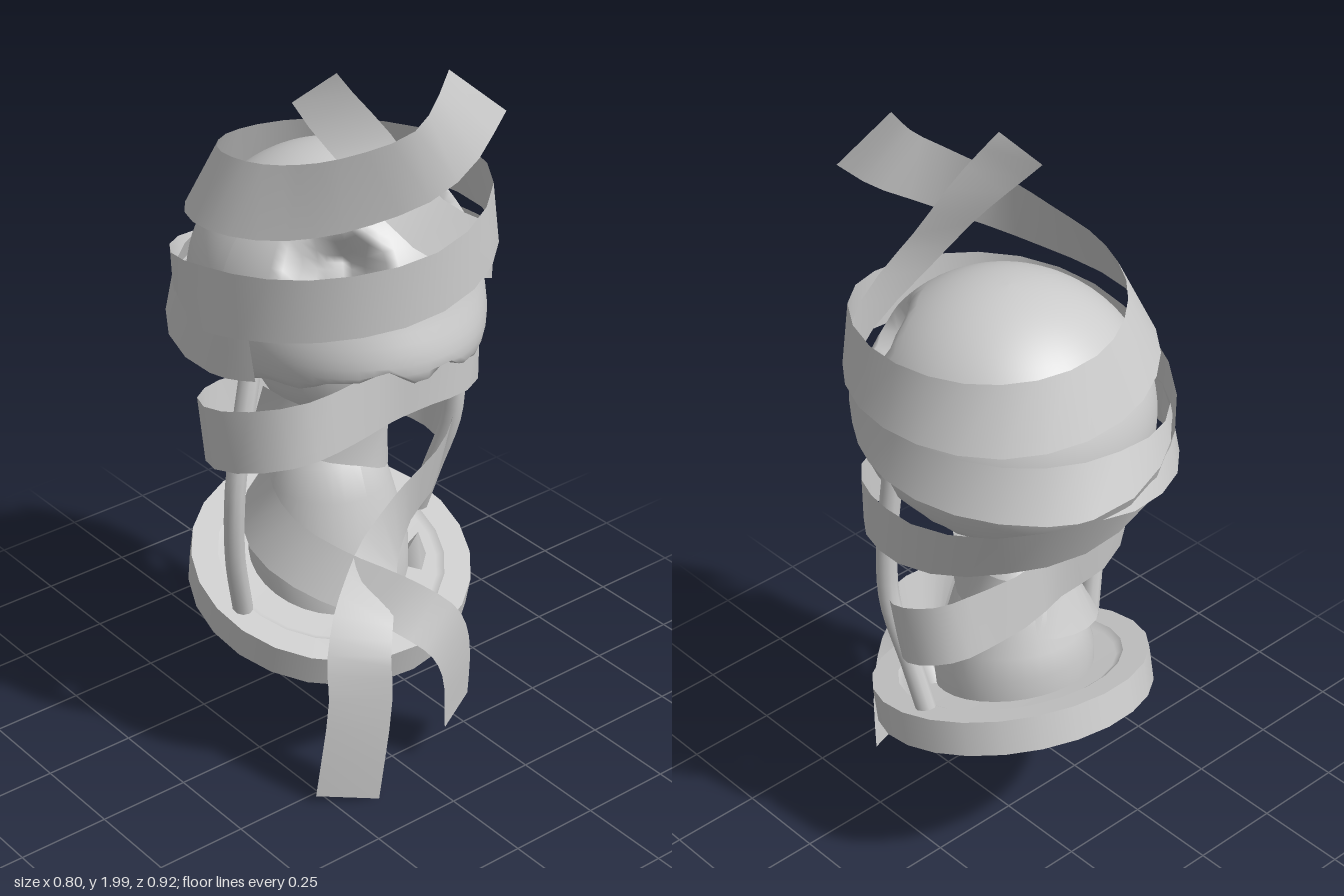
import * as THREE from 'three';

const grey = new THREE.MeshStandardMaterial({ color: 0xcccccc });
const thin = new THREE.MeshStandardMaterial({ color: 0xcccccc, side: THREE.DoubleSide });

function add(parent, name, geometry, material = grey) {
  const mesh = new THREE.Mesh(geometry, material);
  mesh.name = name;
  parent.add(mesh);
  return mesh;
}

// Band wound about the vertical axis; stations are
// [degrees from +z towards +x, radius, height, inward lean of the upper edge]
function ribbonGeometry(stations, width) {
  const curve = new THREE.CatmullRomCurve3(
    stations.map(([deg, r, y]) => new THREE.Vector3(deg / 150, r, y)));
  const toSpace = (t) => {
    const p = curve.getPoint(t);
    const a = THREE.MathUtils.degToRad(p.x * 150);
    return new THREE.Vector3(p.y * Math.sin(a), p.z, p.y * Math.cos(a));
  };
  const spans = stations.length - 1;
  const leanAt = (t) => {
    const k = Math.min(spans - 1, Math.floor(t * spans));
    return THREE.MathUtils.lerp(stations[k][3] ?? 0, stations[k + 1][3] ?? 0, t * spans - k);
  };
  const steps = spans * 3;
  const positions = [], index = [];
  for (let i = 0; i <= steps; i++) {
    const t = i / steps;
    const p = toSpace(t);
    const tangent = toSpace(Math.min(1, t + 0.004)).sub(toSpace(Math.max(0, t - 0.004)));
    const outward = new THREE.Vector3(p.x, 0, p.z).normalize();
    const side = outward.clone().cross(tangent).normalize().multiplyScalar(width / 2);
    side.addScaledVector(outward, -leanAt(t) * side.y);
    positions.push(p.x + side.x, p.y + side.y, p.z + side.z);
    positions.push(p.x - side.x, p.y - side.y, p.z - side.z);
    if (i < steps) {
      const k = i * 2;
      index.push(k, k + 1, k + 2, k + 1, k + 3, k + 2);
    }
  }
  const g = new THREE.BufferGeometry();
  g.setAttribute('position', new THREE.Float32BufferAttribute(positions, 3));
  g.setIndex(index);
  g.computeVertexNormals();
  return g;
}

// Rounded skull: two pressed-in sockets and an uneven underside rising to the jaw
function skullGeometry() {
  const g = new THREE.SphereGeometry(1, 64, 44);
  const pos = g.attributes.position;
  const v = new THREE.Vector3();
  const sockets = [-1, 1].map((s) => new THREE.Vector3(s * 0.54, 0.5, 0.67).normalize());
  for (let i = 0; i < pos.count; i++) {
    v.fromBufferAttribute(pos, i);
    const front = Math.max(0, v.z);
    const low = THREE.MathUtils.smoothstep(-v.y, -0.2, 0.3);
    let scale = 1;
    for (const s of sockets) {
      scale -= 0.32 * (1 - THREE.MathUtils.smoothstep(v.distanceTo(s), 0.2, 0.32));
    }
    const a = Math.atan2(v.x, v.z);
    const edge = 1.18 + 0.12 * Math.min(0, v.z) + 0.07 * front * front - 0.05 * v.x * front
      + 0.014 * front * (Math.sin(a * 9) + Math.sin(a * 15 + 1));
    const y = 1.33 + v.y * 0.35 * scale;
    pos.setXYZ(i, v.x * 0.36 * scale, Math.max(y, edge),
      v.z * (v.z > 0 ? 0.385 : 0.375) * scale + 0.045 * front * low);
  }
  g.computeVertexNormals();
  return g;
}

// Lower bulb, neck and upper bulb; the foot is slanted to sit on the tilted base
function glassGeometry() {
  const profile = [[0.21, 0.49], [0.21, 0.58], [0.19, 0.66], [0.16, 0.76], [0.13, 0.84],
    [0.075, 0.9], [0.06, 0.93], [0.09, 0.97], [0.15, 1.02], [0.19, 1.09], [0.205, 1.18], [0.2, 1.25]];
  const g = new THREE.LatheGeometry(profile.map(([r, y]) => new THREE.Vector2(r, y)), 32);
  const pos = g.attributes.position;
  for (let i = 0; i < pos.count; i++) {
    const y = pos.getY(i);
    const foot = 1 - THREE.MathUtils.smoothstep(y, 0.55, 0.8);
    pos.setY(i, y + foot * (0.07 * pos.getX(i) - 0.28 * pos.getZ(i)));
  }
  g.computeVertexNormals();
  return g;
}

export function createModel() {
  const model = new THREE.Group();
  model.name = 'wrappedHourglass';

  // Tilted base with a low raised rim
  const base = new THREE.Group();
  base.name = 'base';
  base.position.set(0, 0.477, -0.015);
  base.rotation.set(0.28, 0, 0.07);
  model.add(base);
  const baseProfile = [[0, -0.047], [0.37, -0.047], [0.37, -0.047], [0.37, 0.047],
    [0.37, 0.047], [0.3, 0.047], [0.3, 0.047], [0.28, 0.035], [0, 0.035]];
  add(base, 'baseDisc', new THREE.LatheGeometry(
    baseProfile.map(([r, y]) => new THREE.Vector2(r, y)), 24));

  // Shard standing on the base
  const shard = add(base, 'shard', new THREE.ConeGeometry(0.045, 0.11, 4));
  shard.position.set(0.18, 0.085, 0.12);
  shard.rotation.y = 1.5;

  add(model, 'glassBulbs', glassGeometry(), thin).position.z = -0.02;
  add(model, 'skull', skullGeometry());

  // Bowed support rods, one on each side
  const rods = {
    rightRod: [[-0.31, 0.48, 0.02], [-0.355, 0.68, 0.05], [-0.365, 0.88, 0.07], [-0.34, 1.05, 0.07], [-0.28, 1.28, 0.05]],
    leftRod: [[0.305, 0.52, -0.03], [0.32, 0.68, 0.02], [0.34, 0.85, 0.07], [0.34, 1.0, 0.08], [0.32, 1.25, 0.07]],
  };
  for (const [name, points] of Object.entries(rods)) {
    const path = new THREE.CatmullRomCurve3(points.map((p) => new THREE.Vector3(...p)));
    add(model, name, new THREE.TubeGeometry(path, 18, 0.027, 10));
  }

  // Long ribbon: upper tip, round the skull, down the rods and out over the base
  add(model, 'longRibbon', ribbonGeometry([
    [13, 0.425, 1.945, 0.7], [-5, 0.43, 1.82, 0.3], [-30, 0.36, 1.73, 0.3], [-60, 0.31, 1.67, 0.4],
    [-100, 0.31, 1.63, 0.5], [-140, 0.33, 1.59, 0.5], [-180, 0.35, 1.55, 0.4],
    [-225, 0.37, 1.53, 0.4], [-270, 0.382, 1.53, 0.25], [-315, 0.4, 1.53, 0.1],
    [-360, 0.41, 1.48], [-405, 0.4, 1.44], [-450, 0.385, 1.39, 0.1], [-495, 0.405, 1.31, -0.1],
    [-540, 0.42, 1.22, -0.5], [-585, 0.41, 1.17, -0.5], [-630, 0.385, 1.12, -0.1],
    [-664, 0.37, 1.11], [-692, 0.27, 1.11], [-720, 0.23, 1.1], [-748, 0.27, 1.09],
    [-776, 0.37, 1.07], [-810, 0.39, 1.01], [-848, 0.29, 0.95], [-900, 0.18, 0.91],
    [-950, 0.27, 0.88], [-970, 0.35, 0.85], [-990, 0.37, 0.81], [-1010, 0.3, 0.765],
    [-1043, 0.2, 0.71], [-1085, 0.22, 0.64], [-1102, 0.3, 0.55], [-1108, 0.365, 0.44],
    [-1108, 0.385, 0.32], [-1113, 0.39, 0.02],
  ], 0.165), thin);

  // Second ribbon: upper tip, over the brow and round the back
  add(model, 'browRibbon', ribbonGeometry([
    [-50, 0.22, 1.93], [-20, 0.26, 1.78], [3, 0.34, 1.6], [35, 0.395, 1.46], [60, 0.39, 1.39],
    [90, 0.385, 1.36, 0.2], [135, 0.4, 1.34, 0.3], [180, 0.42, 1.32, 0.5], [225, 0.412, 1.28, 0.2],
    [270, 0.385, 1.26], [290, 0.375, 1.28],
  ], 0.135), thin);

  // Third ribbon: short hanging end, round the lower bulb and the neck
  add(model, 'neckRibbon', ribbonGeometry([
    [24, 0.365, 0.14], [18, 0.38, 0.34], [8, 0.37, 0.46], [-10, 0.3, 0.55], [-40, 0.26, 0.62, 0.3],
    [-90, 0.22, 0.69, 0.5], [-135, 0.195, 0.75, 0.5], [-180, 0.175, 0.79, 0.4], [-225, 0.155, 0.82, 0.2],
    [-270, 0.145, 0.85], [-320, 0.14, 0.88], [-360, 0.15, 0.93], [-410, 0.2, 0.99],
    [-450, 0.24, 1.05],
  ], 0.14), thin);

  return model;
}
